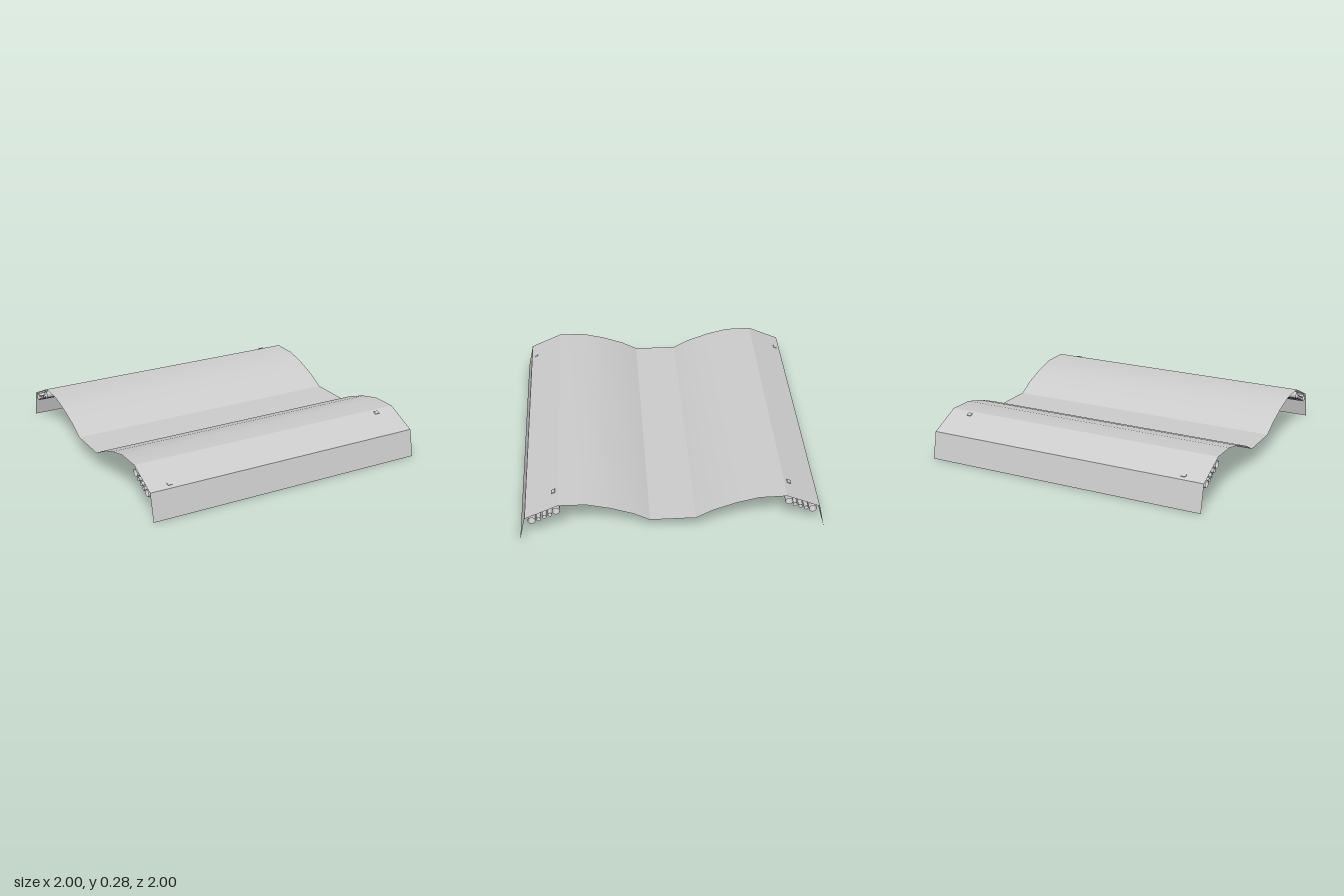
import * as THREE from 'three';

const material = new THREE.MeshStandardMaterial({ color: 0xcccccc, side: THREE.DoubleSide });

// Thin sheet spanning x = -1..1 along a [z, y] profile, smooth along its length
function strip(name, profile) {
  const positions = [], index = [];
  profile.forEach(([z, y], i) => {
    positions.push(-1, y, z, 1, y, z);
    if (i > 0) {
      const a = 2 * (i - 1);
      index.push(a, a + 1, a + 3, a, a + 3, a + 2);
    }
  });
  const geometry = new THREE.BufferGeometry();
  geometry.setAttribute('position', new THREE.Float32BufferAttribute(positions, 3));
  geometry.setIndex(index);
  geometry.computeVertexNormals();
  const mesh = new THREE.Mesh(geometry, material);
  mesh.name = name;
  return mesh;
}

// Open tube running along x
function tube(name, z, y, radius) {
  const geometry = new THREE.CylinderGeometry(radius, radius, 2, 20, 1, true);
  geometry.rotateZ(Math.PI / 2);
  const mesh = new THREE.Mesh(geometry, material);
  mesh.position.set(0, y, z);
  mesh.name = name;
  return mesh;
}

// Small tab lying on the slope with a stem down to its tube
function clip(x, y, z, tilt) {
  const group = new THREE.Group();
  group.name = 'clip';
  const tab = new THREE.Mesh(new THREE.BoxGeometry(0.032, 0.005, 0.026), material);
  tab.name = 'clipTab';
  const stem = new THREE.Mesh(new THREE.BoxGeometry(0.012, 0.02, 0.006), material);
  stem.name = 'clipStem';
  stem.position.y = -0.01;
  group.add(tab, stem);
  group.position.set(x, y, z);
  group.rotation.x = tilt;
  return group;
}

export function createModel() {
  const model = new THREE.Group();
  model.name = 'corrugatedPanel';

  // Half profiles, mirrored front to back with creases between them
  const halves = {
    Lip: [[1, 0], [0.96, 0.185]],
    Slope: [[0.96, 0.185], [0.74, 0.285]],
    Wave: [[0.74, 0.285], [0.56, 0.282], [0.41, 0.245], [0.26, 0.19], [0.15, 0.13]],
  };
  for (const [name, profile] of Object.entries(halves)) {
    model.add(strip('front' + name, profile));
    model.add(strip('back' + name, profile.map(([z, y]) => [-z, y]).reverse()));
  }
  model.add(strip('valleyFloor', [[0.15, 0.13], [-0.15, 0.13]]));

  // Tube rows hanging under both slopes
  const tilt = Math.atan2(0.1, 0.22);
  for (const s of [1, -1]) {
    const row = new THREE.Group();
    row.name = s > 0 ? 'frontTubeRow' : 'backTubeRow';
    row.add(tube('outerTube', s * 0.915, 0.166, 0.025));
    row.add(tube('innerTube', s * 0.755, 0.238, 0.025));
    for (const [z, y] of [[0.87, 0.176], [0.832, 0.194], [0.795, 0.211]]) {
      row.add(tube('thinTube', s * z, y, 0.014));
    }
    row.add(clip(-0.85, 0.202, s * 0.927, s * tilt));
    row.add(clip(0.845, 0.275, s * 0.772, s * tilt));
    model.add(row);
  }
  return model;
}
